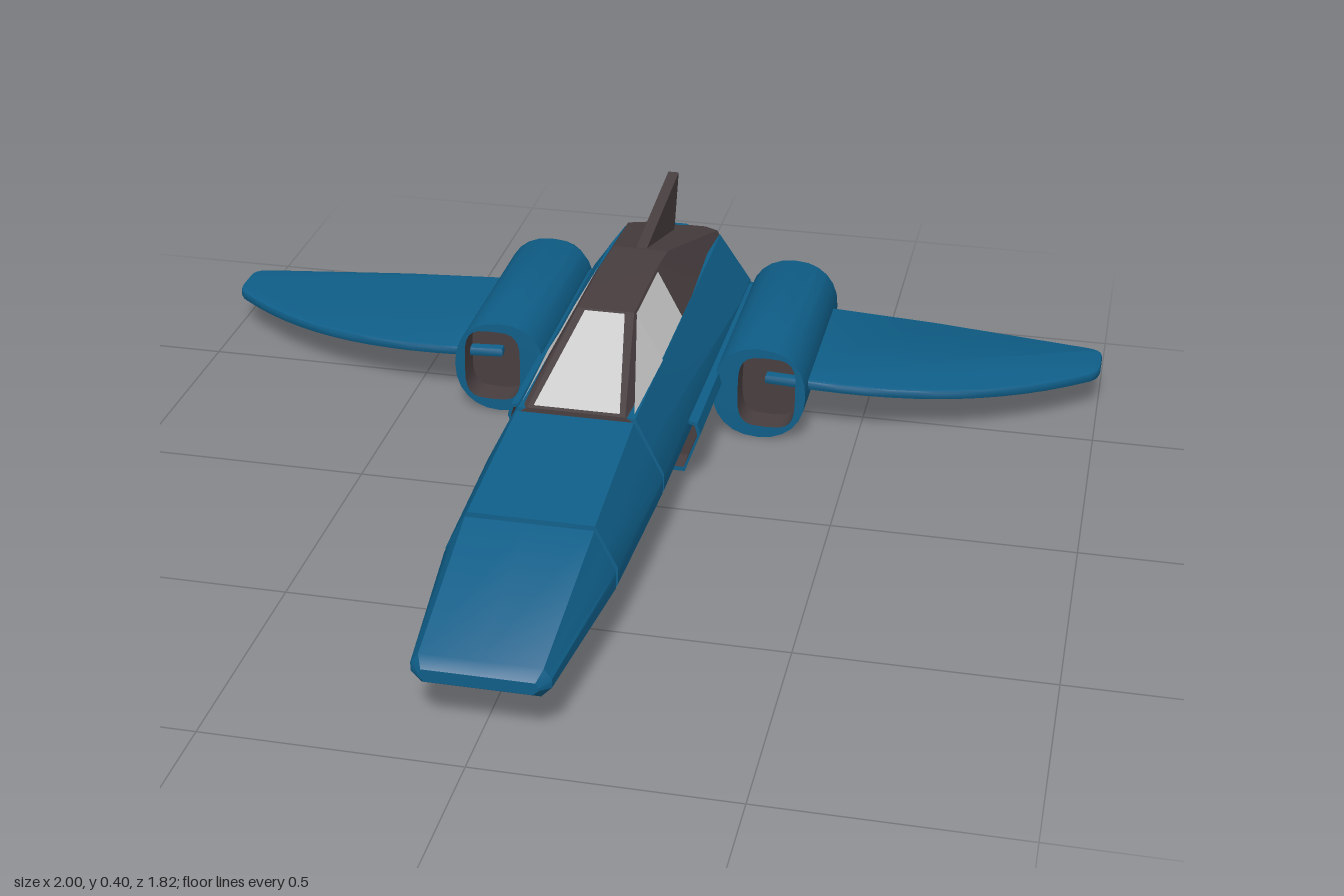
import * as THREE from 'three';
import { toCreasedNormals } from 'three/addons/utils/BufferGeometryUtils.js';

const paint = new THREE.MeshStandardMaterial({ color: 0x0f5e88 });
const dark = new THREE.MeshStandardMaterial({ color: 0x483e40 });
const glass = new THREE.MeshStandardMaterial({ color: 0xcccccc });

// Skin a list of rings (counter-clockwise from the front, ordered front to back); side -1 mirrors in x
function loft(rings, { side = 1, capStart = false, capEnd = false, crease = 0.5 } = {}) {
  const R = rings.map(r => {
    const m = r.map(([x, y, z]) => [x * side, y, z]);
    return side < 0 ? m.reverse() : m;
  });
  const n = R[0].length, pos = [];
  const tri = (...p) => p.forEach(v => pos.push(...v));
  for (let i = 0; i < R.length - 1; i++)
    for (let j = 0; j < n; j++) {
      const k = (j + 1) % n, a = R[i][j], b = R[i][k], c = R[i + 1][j], d = R[i + 1][k];
      tri(a, c, b);
      tri(b, c, d);
    }
  const cap = (r, flip) => {
    const mid = [0, 1, 2].map(q => r.reduce((s, p) => s + p[q], 0) / n);
    r.forEach((p, j) => (flip ? tri(mid, r[(j + 1) % n], p) : tri(mid, p, r[(j + 1) % n])));
  };
  if (capStart) cap(R[0], false);
  if (capEnd) cap(R[R.length - 1], true);
  const g = new THREE.BufferGeometry();
  g.setAttribute('position', new THREE.Float32BufferAttribute(pos, 3));
  return toCreasedNormals(g, crease);
}

// Eight-cornered hull section with a point halfway along each edge
function hull(z, yb, yt, bw, w, yw, tw) {
  const h = Math.min(0.018, (yt - yb) * 0.15);
  const c = [[w, yw + h], [tw, yt], [-tw, yt], [-w, yw + h], [-w, yw - h], [-bw, yb], [bw, yb], [w, yw - h]];
  return c.flatMap((p, i) => {
    const q = c[(i + 1) % 8];
    return [[p[0], p[1], z], [(p[0] + q[0]) / 2, (p[1] + q[1]) / 2, z]];
  });
}

// Ellipse section; power below 1 makes it squarer
function oval(z, cx, cy, rx, ry, power = 1, n = 24, turn = 0) {
  return Array.from({ length: n }, (_, i) => {
    const a = turn + (i / n) * Math.PI * 2, c = Math.cos(a), s = Math.sin(a);
    return [cx + rx * Math.sign(c) * Math.abs(c) ** power, cy + ry * Math.sign(s) * Math.abs(s) ** power, z];
  });
}

// Thin window pane, pushed out slightly from the frame
function pane(points, side = 1) {
  let p = points.map(([x, y, z]) => new THREE.Vector3(x * side, y, z));
  if (side < 0) p.reverse();
  const nrm = p[1].clone().sub(p[0]).cross(p[2].clone().sub(p[0])).normalize().multiplyScalar(0.003);
  p = p.map(v => v.add(nrm));
  const pts = [];
  for (let i = 1; i < p.length - 1; i++) pts.push(p[0], p[i], p[i + 1]);
  const g = new THREE.BufferGeometry().setFromPoints(pts);
  g.computeVertexNormals();
  return g;
}

export function createModel() {
  const model = new THREE.Group();
  const add = (name, geometry, material) => {
    const m = new THREE.Mesh(geometry, material);
    m.name = name;
    model.add(m);
  };

  // Fuselage with two panel grooves, rounding off into the tail nozzle
  const round = (z, r) => oval(z, 0, 0.147, r, r, 1, 16, Math.PI / 16);
  add('fuselage', loft([
    hull(0.907, 0.105, 0.13, 0.1, 0.11, 0.118, 0.105),
    hull(0.885, 0.09, 0.148, 0.11, 0.13, 0.12, 0.115),
    hull(0.526, 0.045, 0.23, 0.125, 0.167, 0.13, 0.125),
    hull(0.525, 0.055, 0.22, 0.115, 0.155, 0.13, 0.115),
    hull(0.516, 0.055, 0.22, 0.115, 0.155, 0.13, 0.115),
    hull(0.515, 0.042, 0.234, 0.126, 0.168, 0.132, 0.124),
    hull(0.151, 0.031, 0.268, 0.13, 0.18, 0.135, 0.12),
    hull(0.15, 0.042, 0.258, 0.12, 0.168, 0.135, 0.11),
    hull(0.139, 0.042, 0.258, 0.12, 0.168, 0.135, 0.11),
    hull(0.138, 0.03, 0.27, 0.13, 0.18, 0.135, 0.12),
    hull(-0.7, 0.03, 0.27, 0.13, 0.185, 0.135, 0.117),
    hull(-0.84, 0.03, 0.258, 0.13, 0.185, 0.135, 0.112),
    round(-0.905, 0.105), round(-0.91, 0.1), round(-0.91, 0.08),
  ], { capStart: true }), paint);
  add('tailExhaust', loft([round(-0.91, 0.08), round(-0.82, 0.06)], { capEnd: true }), dark);

  // Canopy frame running back into the sloping spine
  const frame = (z, base, yb, top, yt) => [[base, yb, z], [top, yt, z], [-top, yt, z], [-base, yb, z]];
  add('canopyFrameAndSpine', loft([
    frame(0.14, 0.115, 0.262, 0.1, 0.272),
    frame(-0.13, 0.12, 0.265, 0.06, 0.375),
    frame(-0.35, 0.12, 0.265, 0.06, 0.375),
    frame(-0.48, 0.12, 0.265, 0.06, 0.365),
    frame(-0.84, 0.114, 0.25, 0.105, 0.268),
    frame(-0.908, 0.088, 0.205, 0.065, 0.246),
  ], { capStart: true, capEnd: true, crease: 0.1 }), dark);
  add('windshield', pane([[-0.088, 0.274, 0.135], [0.088, 0.274, 0.135], [0.042, 0.372, -0.122], [-0.042, 0.372, -0.122]]), glass);

  // Tail fin
  const finShape = new THREE.Shape([[-0.48, 0.362], [-0.6, 0.3], [-0.797, 0.265], [-0.842, 0.402]].map(p => new THREE.Vector2(...p)));
  const fin = new THREE.ExtrudeGeometry(finShape, { depth: 0.024, bevelEnabled: false });
  fin.translate(0, 0, -0.012).rotateY(-Math.PI / 2);
  add('tailFin', fin, dark);

  for (const [label, side] of [['left', 1], ['right', -1]]) {
    // Side windows
    add(label + 'FrontWindow', pane([[0.113, 0.272, 0.125], [0.119, 0.272, -0.13], [0.063, 0.37, -0.13]], side), glass);
    add(label + 'SideWindow', pane([[0.116, 0.272, -0.13], [0.116, 0.272, -0.35], [0.062, 0.3715, -0.35], [0.062, 0.3715, -0.13]], side), glass);

    // Body intake: a duct along the lower flank with a dark recessed mouth
    const duct = (z, k) => [[0.175, 0.03], [0.207, 0.12], [0.2, 0.145], [0.15, 0.16], [0.1, 0.15], [0.1, 0.03]]
      .map(([x, y]) => [0.16 + (x - 0.16) * k, 0.1 + (y - 0.1) * k, z]);
    add(label + 'BodyDuct', loft([duct(-0.11, 0.86), duct(-0.11, 1), duct(-0.82, 1), duct(-0.86, 0.8)], { side, capEnd: true }), paint);
    add(label + 'BodyIntake', loft([duct(-0.16, 0.82), duct(-0.11, 0.86)], { side, capStart: true }), dark);

    // Engine pod with a squarish intake and a round exhaust
    const pod = (z, r) => oval(z, 0.288, 0.105, r, r * 1.03, 0.9);
    const mouth = z => oval(z, 0.305, 0.108, 0.063, 0.082, 0.55);
    add(label + 'Engine', loft([mouth(-0.355), pod(-0.355, 0.102), pod(-0.84, 0.102), pod(-0.89, 0.08), pod(-0.89, 0.066)], { side }), paint);
    add(label + 'EngineIntake', loft([mouth(-0.42), mouth(-0.355)], { side, capStart: true }), dark);
    add(label + 'EngineExhaust', loft([pod(-0.89, 0.066), pod(-0.82, 0.052)], { side, capEnd: true }), dark);

    // Wing with a curved leading edge, drooping towards the tip
    const s = new THREE.Shape();
    s.moveTo(0.3 * side, 0.406);
    s.lineTo(0.4 * side, 0.406);
    s.bezierCurveTo(0.62 * side, 0.412, 0.8 * side, 0.475, 0.975 * side, 0.64);
    s.quadraticCurveTo(0.994 * side, 0.658, 0.994 * side, 0.69);
    s.lineTo(0.994 * side, 0.74);
    s.quadraticCurveTo(0.994 * side, 0.764, 0.965 * side, 0.766);
    s.lineTo(0.62 * side, 0.784);
    s.lineTo(0.3 * side, 0.784);
    const wing = new THREE.ExtrudeGeometry(s, { depth: 0.01, bevelSize: 0.006, bevelThickness: 0.006, bevelSegments: 2, curveSegments: 12 });
    wing.rotateX(-Math.PI / 2);
    const p = wing.attributes.position;
    for (let i = 0; i < p.count; i++) p.setY(i, p.getY(i) + 0.108 - (Math.abs(p.getX(i)) - 0.39) * 0.052);
    add(label + 'Wing', toCreasedNormals(wing, 0.6), paint);
  }
  return model;
}
